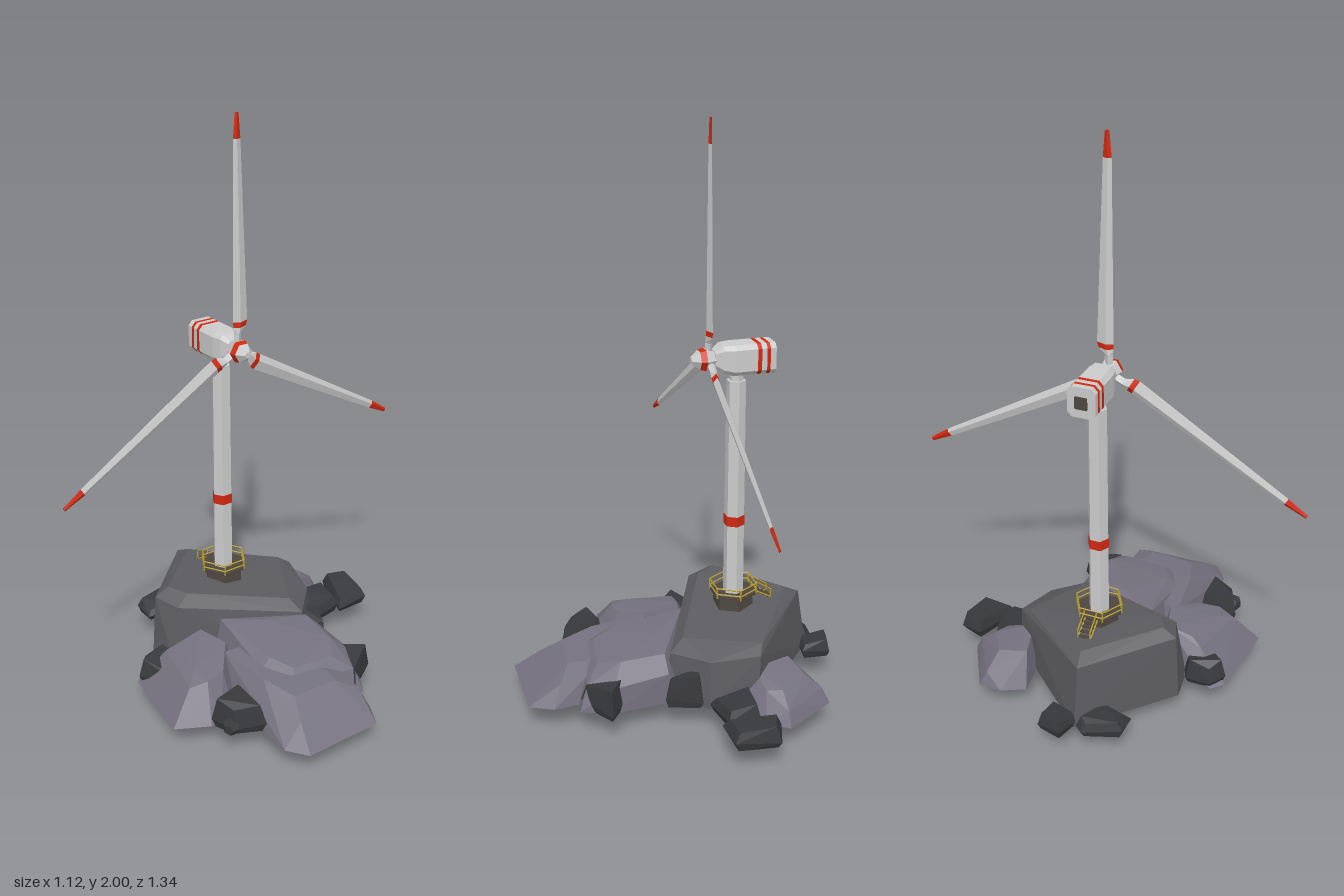
import * as THREE from 'three';
import { ConvexGeometry } from 'three/addons/geometries/ConvexGeometry.js';

const mat = (color) => new THREE.MeshStandardMaterial({ color, flatShading: true });
const M = {
  grey: mat(0xcccccc), red: mat(0xd02810), yellow: mat(0xb89c2c), plinth: mat(0x4c463e),
  rock: mat(0x5c5c60), pale: mat(0x75717f), dark: mat(0x38393c),
};
const V = (x, y, z) => new THREE.Vector3(x, y, z);

function add(parent, name, geometry, material, x = 0, y = 0, z = 0) {
  const mesh = new THREE.Mesh(geometry, material);
  mesh.name = name;
  mesh.position.set(x, y, z);
  parent.add(mesh);
  return mesh;
}
const hull = (parent, name, pts, material) => add(parent, name, new ConvexGeometry(pts), material);

// Hexagonal drum standing between two heights
const drum = (parent, name, rTop, rBottom, y0, y1, material) =>
  add(parent, name, new THREE.CylinderGeometry(rTop, rBottom, y1 - y0, 6), material, 0, (y0 + y1) / 2, 0);

// Straight bar between two points
function bar(parent, name, a, b, r, material) {
  const mesh = add(parent, name, new THREE.CylinderGeometry(r, r, a.distanceTo(b), 4), material);
  mesh.position.copy(a).lerp(b, 0.5);
  mesh.quaternion.setFromUnitVectors(V(0, 1, 0), b.clone().sub(a).normalize());
}

// Boulder from a base outline [x, z] and upper corners [x, y, z]
const GROUND = 0.09;
const boulder = (parent, name, material, base, upper) => hull(parent, name,
  [...base.map(([x, z]) => V(x, GROUND, z)), ...upper.map((p) => V(...p))], material);

// Broken shard: an outline [x, z] with a smaller, tilted top
function shard(parent, outline, top, tilt) {
  const cx = outline.reduce((s, p) => s + p[0], 0) / outline.length;
  const cz = outline.reduce((s, p) => s + p[1], 0) / outline.length;
  const ring = (k, f) => outline.map(([x, z], i) => V(cx + (x - cx) * k, f(i), cz + (z - cz) * k));
  hull(parent, 'shard', [
    ...ring(0.85, () => GROUND),
    ...ring(1, (i) => GROUND + 0.02 + 0.012 * (i % 2)),
    ...ring(0.78, (i) => top - tilt * (i % 3)),
  ], M.dark);
}

function makeRocks() {
  const g = new THREE.Group();
  g.name = 'rocks';
  boulder(g, 'mainRock', M.rock,
    [[-0.49, 0.03], [-0.21, 0.3], [-0.09, 0.285], [0.11, -0.14], [-0.02, -0.28], [-0.18, -0.315]],
    [[-0.455, 0.315, 0.03], [-0.205, 0.33, 0.285], [-0.11, 0.32, 0.25], [0.08, 0.25, -0.15],
      [-0.03, 0.255, -0.26], [-0.19, 0.275, -0.3], [-0.4, 0.343, 0.02], [-0.2, 0.357, 0.235],
      [-0.13, 0.352, 0.2], [0.03, 0.29, -0.13], [-0.21, 0.3, -0.26]]);
  boulder(g, 'middleRock', M.pale,
    [[0.05, -0.2], [0.3, -0.21], [0.4, -0.17], [0.39, -0.08], [0.35, 0.12], [0.24, 0.16], [-0.06, 0.16]],
    [[0.1, 0.2, -0.2], [0.29, 0.18, -0.205], [0.37, 0.175, -0.15], [0.34, 0.19, 0.1], [0.23, 0.21, 0.14],
      [0.1, 0.25, -0.15], [0.25, 0.24, -0.14], [0.32, 0.22, -0.09], [0.3, 0.225, 0.06],
      [0.22, 0.24, 0.1], [-0.04, 0.262, 0.12], [0.06, 0.265, 0.0]]);
  boulder(g, 'outerRock', M.pale,
    [[0.36, -0.12], [0.48, -0.13], [0.56, -0.09], [0.56, 0.19], [0.49, 0.24], [0.07, 0.23], [0.05, 0.15]],
    [[0.36, 0.18, -0.1], [0.45, 0.165, -0.1], [0.47, 0.155, 0.16], [0.35, 0.205, -0.04],
      [0.41, 0.2, -0.03], [0.4, 0.2, 0.13], [0.28, 0.215, 0.17], [0.08, 0.22, 0.19], [0.1, 0.225, 0.1]]);
  boulder(g, 'frontRock', M.pale,
    [[-0.07, 0.15], [0.08, 0.14], [0.22, 0.25], [0.25, 0.32], [0.25, 0.36], [0.19, 0.47], [-0.1, 0.43], [-0.14, 0.39]],
    [[-0.07, 0.2, 0.33], [0.15, 0.19, 0.38], [-0.05, 0.245, 0.2], [-0.05, 0.225, 0.29], [0.1, 0.215, 0.33],
      [0.17, 0.205, 0.32], [0.16, 0.21, 0.25], [0.06, 0.24, 0.17]]);
  boulder(g, 'backRock', M.pale,
    [[-0.42, -0.36], [-0.24, -0.465], [-0.17, -0.42], [-0.1, -0.31], [-0.2, -0.22], [-0.38, -0.2], [-0.42, -0.28]],
    [[-0.4, 0.14, -0.34], [-0.24, 0.14, -0.44], [-0.34, 0.195, -0.32], [-0.24, 0.185, -0.38],
      [-0.19, 0.18, -0.36], [-0.18, 0.21, -0.26], [-0.32, 0.21, -0.22]]);
  // Outline, top height, tilt
  [
    [[[-0.17, -0.56], [-0.02, -0.54], [-0.02, -0.41], [-0.2, -0.475]], 0.165, 0.012],
    [[[-0.15, -0.43], [-0.04, -0.42], [-0.02, -0.28], [-0.16, -0.29]], 0.17, 0.015],
    [[[0, -0.27], [0.12, -0.23], [0.1, -0.185], [-0.02, -0.2]], 0.21, 0.015],
    [[[0.31, -0.27], [0.39, -0.14], [0.29, -0.12], [0.25, -0.19]], 0.2, 0.02],
    [[[-0.54, -0.08], [-0.44, -0.07], [-0.46, 0.04], [-0.565, 0.01]], 0.155, 0.012],
    [[[-0.5, 0.04], [-0.38, 0.09], [-0.4, 0.2], [-0.48, 0.2], [-0.525, 0.07]], 0.15, 0.01],
    [[[0.22, 0.23], [0.38, 0.23], [0.33, 0.33], [0.25, 0.36]], 0.2, 0.01],
    [[[-0.14, 0.3], [-0.07, 0.27], [0.03, 0.34], [-0.09, 0.43], [-0.14, 0.39]], 0.185, 0.02],
  ].forEach(([outline, top, tilt]) => shard(g, outline, top, tilt));
  add(g, 'pebble', new THREE.DodecahedronGeometry(0.03), M.dark, 0.32, 0.12, 0.33);
  add(g, 'foundation', new THREE.BoxGeometry(0.1, 0.12, 0.1), M.grey, -0.17, 0.06, 0);
  return g;
}

function makePlatform() {
  const g = new THREE.Group();
  g.name = 'platform';
  drum(g, 'plinth', 0.068, 0.075, 0.3, 0.366, M.plinth);
  drum(g, 'deck', 0.082, 0.082, 0.366, 0.374, M.plinth);
  const R = 0.083;
  [0.386, 0.408].forEach((y) => {
    const ring = new THREE.TorusGeometry(R, 0.003, 4, 6).rotateX(Math.PI / 2).rotateY(Math.PI / 2);
    add(g, 'handrail', ring, M.yellow, 0, y, 0);
  });
  for (let i = 0; i < 6; i++) {
    const a = (i * Math.PI) / 3, x = R * Math.sin(a), z = R * Math.cos(a);
    bar(g, 'railPost', V(x, 0.37, z), V(x, 0.409, z), 0.003, M.yellow);
  }
  // Short stair down to the rock
  for (const z of [-0.022, 0.022]) {
    bar(g, 'stairRail', V(-0.075, 0.405, z), V(-0.135, 0.366, z), 0.0025, M.yellow);
    bar(g, 'stairStringer', V(-0.07, 0.372, z), V(-0.135, 0.336, z), 0.003, M.yellow);
    bar(g, 'stairPost', V(-0.134, 0.335, z), V(-0.134, 0.368, z), 0.0025, M.yellow);
  }
  for (let i = 0; i < 4; i++) {
    add(g, 'step', new THREE.BoxGeometry(0.013, 0.004, 0.044), M.plinth, -0.08 - i * 0.016, 0.366 - i * 0.009, 0);
  }
  return g;
}

// Chamfered square cross-section of the housing at x
function housingSection(x, h, w, y = 1.226) {
  const c = 0.3, pts = [];
  for (const sy of [-1, 1]) for (const sz of [-1, 1]) {
    pts.push(V(x, y + sy * h, sz * w * (1 - c)), V(x, y + sy * h * (1 - c), sz * w));
  }
  return pts;
}

function makeNacelle() {
  const g = new THREE.Group();
  g.name = 'nacelle';
  const xs = [-0.122, -0.102, -0.09, -0.072, -0.058, 0.02];
  for (let i = 0; i < 5; i++) {
    hull(g, i % 2 ? 'housingStripe' : 'housing', [
      ...housingSection(xs[i], 0.052, 0.047), ...housingSection(xs[i + 1], 0.052, 0.047)], i % 2 ? M.red : M.grey);
  }
  hull(g, 'housingNose', [...housingSection(0.02, 0.052, 0.047), ...housingSection(0.055, 0.046, 0.04, 1.23),
    ...housingSection(0.082, 0.026, 0.025, 1.232)], M.grey);
  add(g, 'rearVent', new THREE.BoxGeometry(0.01, 0.04, 0.04), M.plinth, -0.124, 1.226, 0);
  return g;
}

// Lens-shaped blade cross-section: distance from hub, leading edge, trailing edge, half thickness
const bladeSection = ([r, lead, trail, t]) => {
  const mid = lead * 0.6 + trail * 0.4;
  return [V(0, r, lead), V(t, r, mid), V(0, r, trail), V(-t, r, mid)];
};

function makeRotor() {
  const g = new THREE.Group();
  g.name = 'rotor';
  g.position.set(0.097, 1.23, 0);
  // Hub drums along x: [name, x0, x1, r0, r1, material]
  [['hubBack', -0.02, 0.014, 0.028, 0.04, M.grey], ['hubBand', 0.014, 0.034, 0.04, 0.034, M.red],
    ['hubNose', 0.034, 0.061, 0.034, 0.012, M.grey]].forEach(([name, x0, x1, r0, r1, m]) => {
    add(g, name, new THREE.CylinderGeometry(r1, r0, x1 - x0, 6).rotateZ(-Math.PI / 2), m, (x0 + x1) / 2, 0, 0);
  });
  const s = [[0.015, 0.013, -0.013, 0.013], [0.055, 0.013, -0.015, 0.012], [0.08, 0.016, -0.035, 0.012],
    [0.098, 0.016, -0.04, 0.011], [0.69, 0.012, -0.016, 0.006], [0.77, 0.005, -0.009, 0.004]];
  const names = ['bladeRoot', 'bladeShoulder', 'bladeBand', 'blade', 'bladeTip'];
  for (let i = 0; i < 3; i++) {
    const b = new THREE.Group();
    b.name = 'bladeAssembly';
    b.rotation.x = (i * 2 * Math.PI) / 3;
    names.forEach((n, k) => hull(b, n, [...bladeSection(s[k]), ...bladeSection(s[k + 1])],
      k === 2 || k === 4 ? M.red : M.grey));
    g.add(b);
  }
  return g;
}

export function createModel() {
  const model = new THREE.Group();
  model.name = 'windTurbine';
  const turbine = new THREE.Group();
  turbine.name = 'turbine';
  turbine.position.x = -0.195;
  drum(turbine, 'tower', 0.033, 0.036, 0.36, 1.15, M.grey);
  drum(turbine, 'towerBand', 0.0365, 0.037, 0.63, 0.665, M.red);
  drum(turbine, 'towerNeck', 0.024, 0.024, 1.15, 1.18, M.grey);
  turbine.add(makePlatform(), makeNacelle(), makeRotor());
  model.add(makeRocks(), turbine);
  return model;
}
